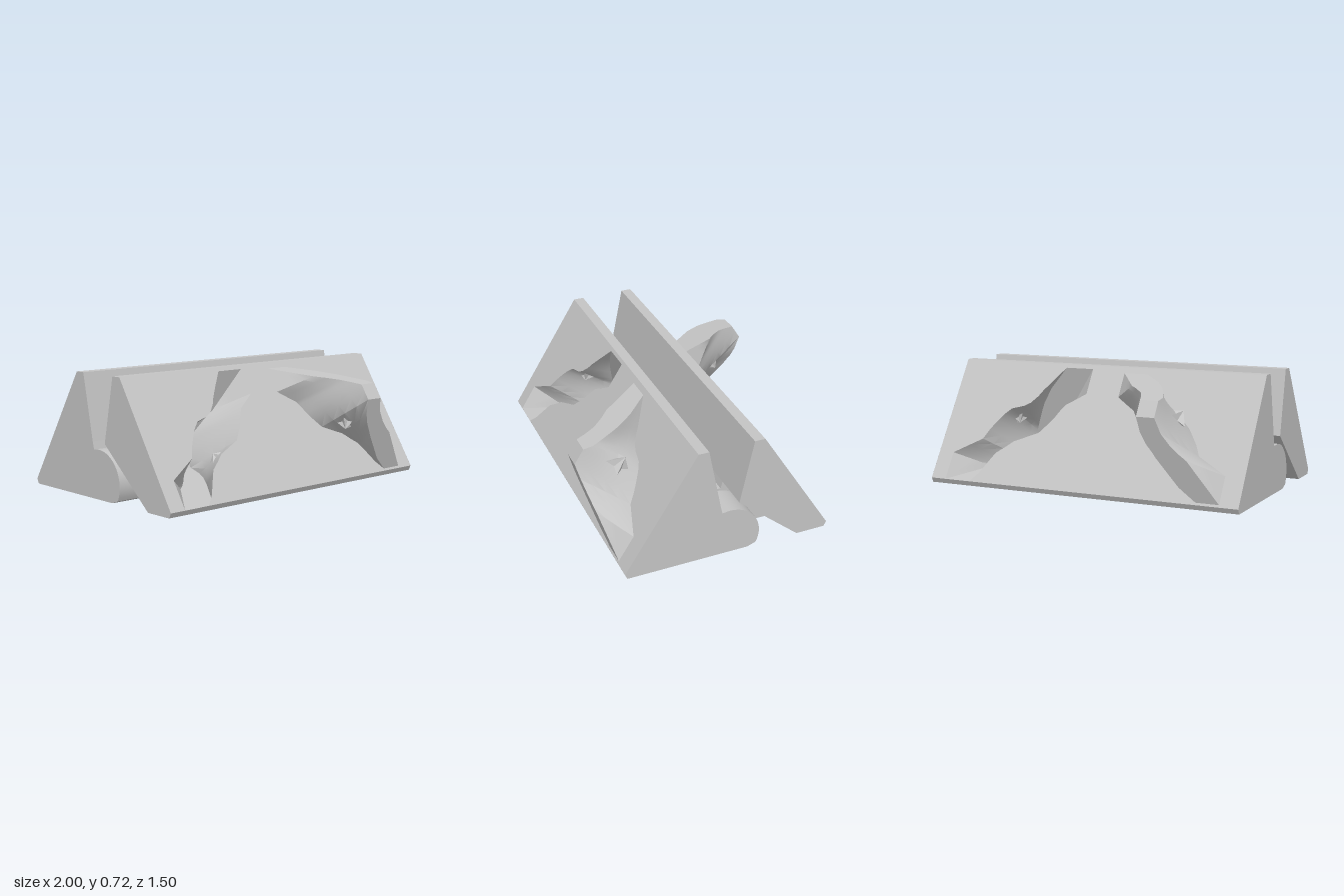
import * as THREE from 'three';
import { toCreasedNormals } from 'three/addons/utils/BufferGeometryUtils.js';

const grey = new THREE.MeshStandardMaterial({ color: 0xc4c4c4, side: THREE.DoubleSide });
grey.name = 'plain grey';

// Slanted outer face: z as a function of y, and its outward direction
const NY = 0.533, NZ = 0.846, TIP = 0.36;
const faceZ = (y) => 0.2 + (0.72 - y) * 0.63;
const onFace = (x, y, h) => [x, y + h * NY, faceZ(y) + h * NZ];

// Wavy footprint of the locking fin: [y, left x, right x]
const WAVE = [
  [0.7, 0.1, 0.28], [0.62, 0.1, 0.35], [0.56, 0.1, 0.4], [0.53, 0.15, 0.42],
  [0.49, 0.22, 0.46], [0.47, 0.235, 0.5], [0.45, 0.25, 0.58], [0.416, 0.27, 0.62],
  [0.38, 0.3, 0.65], [0.326, 0.35, 0.69], [0.27, 0.5, 0.72], [0.23, 0.555, 0.8],
  [0.2, 0.6, 0.86], [0.18, 0.615, 0.9], [0.08, 0.68, 0.9], [0.03, 0.73, 0.9],
];

function mesh(name, geometry) {
  const m = new THREE.Mesh(geometry, grey);
  m.name = name;
  return m;
}

// Surface through rows of points
function grid(rows) {
  const n = rows[0].length, index = [];
  for (let i = 0; i < rows.length - 1; i++) {
    for (let j = 0; j < n - 1; j++) {
      const a = i * n + j, b = a + n;
      index.push(a, b, a + 1, b, b + 1, a + 1);
    }
  }
  const g = new THREE.BufferGeometry();
  g.setAttribute('position', new THREE.Float32BufferAttribute(rows.flat(2), 3));
  g.setIndex(index);
  return toCreasedNormals(g, 0.6);
}

// Flat plate in the z-y plane at a given x
function cap(profile, x) {
  const g = new THREE.ShapeGeometry(new THREE.Shape(profile.map(([z, y]) => new THREE.Vector2(z, y))));
  g.rotateY(-Math.PI / 2);
  return g.translate(x, 0, 0);
}

// Profile swept along x without end caps
const sweep = (profile, x0, x1) => grid([x0, x1].map((x) => profile.map(([z, y]) => [x, y, z])));

// Five-pointed low cone pointing along a direction
function star(radius, height) {
  const g = new THREE.ConeGeometry(radius, height, 10, 1).toNonIndexed();
  const p = g.attributes.position;
  for (let i = 0; i < p.count; i++) {
    const k = Math.round(Math.atan2(p.getX(i), p.getZ(i)) / (Math.PI / 5));
    if (k % 2 !== 0) p.setXYZ(i, p.getX(i) * 0.5, p.getY(i), p.getZ(i) * 0.5);
  }
  g.computeVertexNormals();
  return g;
}

// Tent-shaped fin standing on the face (up = 1) or sunk into it (up = -1)
function fin(name, mirror, up, inset) {
  const group = new THREE.Group();
  group.name = name;
  const heightAt = (y) => Math.max(0, Math.min(1, (0.7 - y) / 0.284, (y - 0.03) / 0.296));
  const point = (row, side, k) => {
    const t = heightAt(row[0]) * k;
    const base = side ? row[2] - inset : row[1] + inset;
    const x = base + ((side ? 0.55 : 0.44) - base) * t;
    const y = 0.365 + (row[0] - 0.365) * (1 - inset * 2.5);
    return onFace(x * mirror, y, t * TIP * up);
  };
  const levels = [0, 0.25, 0.5, 0.75, 1];
  group.add(mesh('leftWall', grid(WAVE.map((r) => levels.map((k) => point(r, 0, k))))));
  group.add(mesh('rightWall', grid(WAVE.map((r) => levels.map((k) => point(r, 1, k))))));
  group.add(mesh('crest', grid(WAVE.map((r) => [point(r, 0, 1), point(r, 1, 1)]))));

  // Star knobs, one on each wall
  for (const [x, y, h, s] of [[0.585, 0.434, 0.123, 1], [0.45, 0.29, 0.109, -1]]) {
    const knob = mesh('starKnob', star(0.085, up > 0 ? 0.07 : 0.05));
    knob.position.set(...onFace(x * mirror, y, h * up));
    const d = new THREE.Vector3(0.5 * mirror, 0.73, -0.46).multiplyScalar(s * up);
    knob.quaternion.setFromUnitVectors(new THREE.Vector3(0, 1, 0), d.normalize());
    group.add(knob);
  }
  return group;
}

function createHalf() {
  const half = new THREE.Group();
  half.name = 'hingeHalf';

  // Body profile as [z, y], running from the face top round to the face foot
  const upper = [[0.2, 0.72], [0.137, 0.72], [0.057, 0.33]];
  const lower = [[0.44, 0], [0.62, 0], [0.635, 0.03]];
  const knuckle = [[0.057, 0.33], [0.046, 0.285]];
  for (let i = 0; i <= 16; i++) {
    const a = Math.PI / 2 + (i / 16) * Math.PI * 0.64;
    knuckle.push([Math.cos(a) * 0.19, 0.1 + Math.sin(a) * 0.19]);
  }
  knuckle.push([-0.12, 0], [0.44, 0]);

  half.add(mesh('upperBody', sweep(upper, -1, 1)));
  half.add(mesh('foot', sweep(lower, -1, 1)));
  for (const x of [-1, 1]) half.add(mesh('bodyEnd', cap([...upper, ...lower], x)));

  // Knuckles and the clearance slopes between them
  for (const [a, b] of [[0.8, 1], [0.01, 0.2], [-0.78, -0.22]]) {
    half.add(mesh('knuckle', sweep(knuckle, a, b)));
    for (const x of [a, b]) half.add(mesh('knuckleEnd', cap(knuckle, x)));
  }
  for (const [a, b] of [[0.2, 0.8], [-0.22, 0.01], [-1, -0.78]]) {
    half.add(mesh('clearanceSlope', sweep([upper[2], lower[0]], a, b)));
  }

  // Slanted face with the socket opening
  const shape = new THREE.Shape([[-1, 0.03], [1, 0.03], [1, 0.72], [-1, 0.72]].map((p) => new THREE.Vector2(...p)));
  const rim = [...WAVE.map((r) => [-r[1], r[0]]), ...[...WAVE].reverse().map((r) => [-r[2], r[0]])];
  shape.holes.push(new THREE.Path(rim.map((p) => new THREE.Vector2(...p))));
  const face = new THREE.ShapeGeometry(shape);
  const p = face.attributes.position;
  for (let i = 0; i < p.count; i++) p.setZ(i, faceZ(p.getY(i)));
  face.computeVertexNormals();
  half.add(mesh('slantedFace', face));

  half.add(fin('lockingFin', 1, 1, 0.015));
  half.add(fin('socket', -1, -1, 0));

  // Pin joining the knuckles on one side
  const pin = mesh('hingePin', new THREE.CylinderGeometry(0.13, 0.13, 0.8, 24));
  pin.rotation.z = Math.PI / 2;
  pin.position.set(0.5, 0.13, 0);
  half.add(pin);
  return half;
}

export function createModel() {
  const model = new THREE.Group();
  model.name = 'foldingHingeBlock';
  const front = createHalf();
  const back = createHalf();
  back.rotation.y = Math.PI;
  model.add(front, back);
  return model;
}
